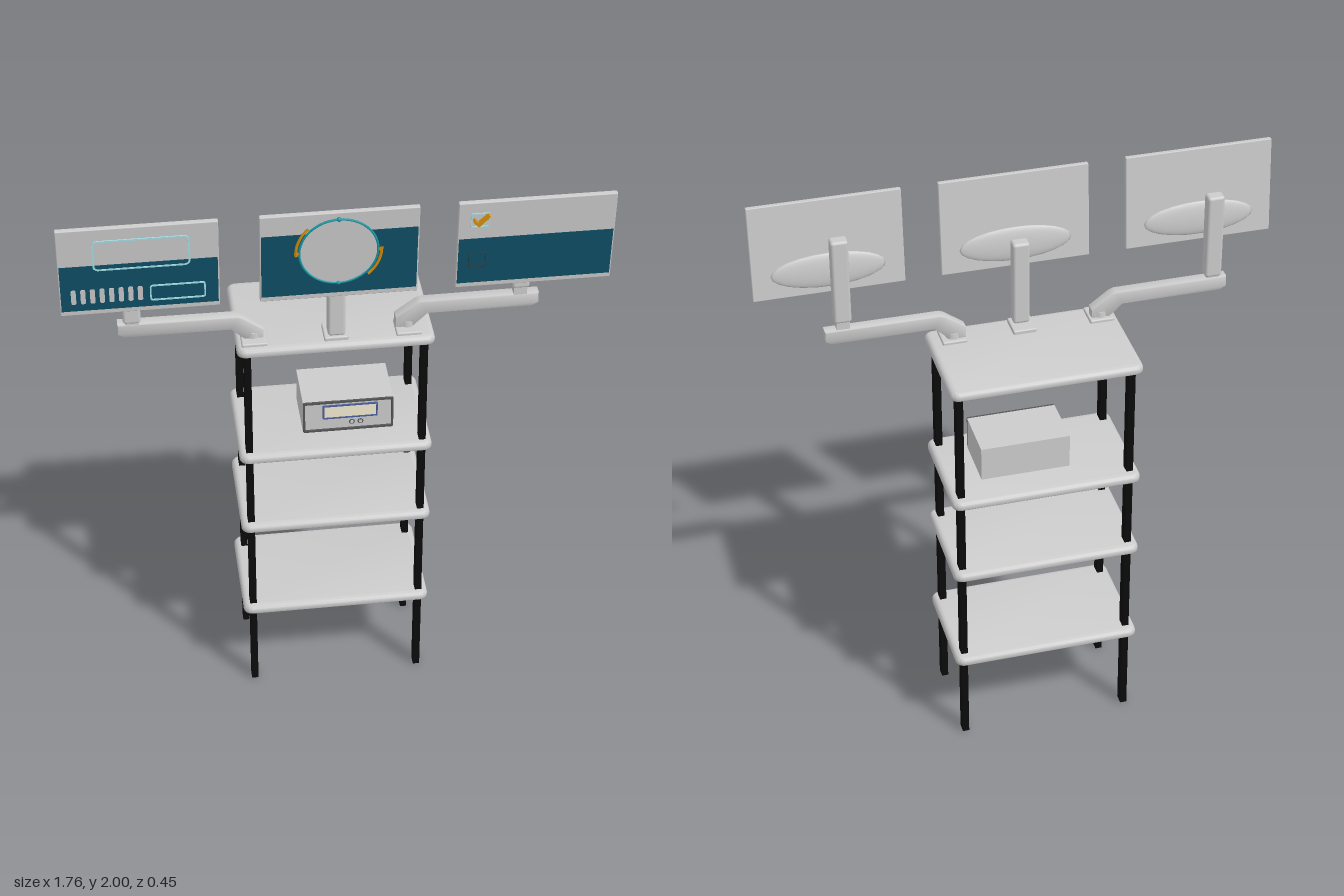
import * as THREE from 'three';
import { RoundedBoxGeometry } from 'three/addons/geometries/RoundedBoxGeometry.js';
import { toCreasedNormals } from 'three/addons/utils/BufferGeometryUtils.js';

const mat = (color) => new THREE.MeshStandardMaterial({ color });
const grey = mat(0xcccccc), black = mat(0x0b0b0b), blue = mat(0x0f4f66), pale = mat(0xa5e3ea);
const teal = mat(0x1a9ba8), orange = mat(0xd9900f), cream = mat(0xf3ead0), indigo = mat(0x4a5fa0), dark = mat(0x555555);

function add(parent, name, geometry, material, x = 0, y = 0, z = 0) {
  const mesh = new THREE.Mesh(geometry, material);
  mesh.name = name;
  mesh.position.set(x, y, z);
  parent.add(mesh);
  return mesh;
}

const box = (w, h, d) => new THREE.BoxGeometry(w, h, d);
const plate = (shape, depth) => new THREE.ExtrudeGeometry(shape, { depth, bevelEnabled: false, curveSegments: 6 });

// Rounded rectangle centred on the origin
function roundRect(w, h, r, Type = THREE.Shape) {
  const s = new Type(), x = w / 2 - r, y = h / 2 - r;
  s.absarc(x, y, r, 0, Math.PI / 2);
  s.absarc(-x, y, r, Math.PI / 2, Math.PI);
  s.absarc(-x, -y, r, Math.PI, Math.PI * 1.5);
  s.absarc(x, -y, r, Math.PI * 1.5, Math.PI * 2);
  s.closePath();
  return s;
}

// Thin rectangular frame
function frame(w, h, r, t, depth = 0.003) {
  const s = roundRect(w, h, r);
  s.holes.push(roundRect(w - 2 * t, h - 2 * t, Math.max(r - t, 0.001), THREE.Path));
  return plate(s, depth);
}

// Shelf: rounded slab, full curve on the top edge and a small one underneath
function shelfGeometry() {
  const b = 0.018;
  const g = new THREE.ExtrudeGeometry(roundRect(0.65 - 2 * b, 0.4 - 2 * b, 0.012), {
    depth: 0.01, bevelThickness: b, bevelSize: b, bevelSegments: 4, curveSegments: 4,
  });
  g.rotateX(-Math.PI / 2);
  const p = g.attributes.position;
  for (let i = 0; i < p.count; i++) if (p.getY(i) < 0) p.setY(i, p.getY(i) * 0.35);
  g.translate(0, 0.0063, 0);
  return toCreasedNormals(g, 0.7);
}

// Low swelling on the back of a display, deepest near its lower edge
function backSwell() {
  const g = new THREE.SphereGeometry(1, 24, 12);
  g.scale(0.19, 0.06, 0.014);
  return g;
}

// Tilted display; local z = 0.009 is the front of the panel
function display(name, x, blueTop) {
  const g = new THREE.Group();
  g.name = name;
  g.position.set(x, 1.832, 0.19);
  g.rotation.x = 0.075;
  add(g, 'panel', new RoundedBoxGeometry(0.505, 0.333, 0.018, 1, 0.003), grey);
  add(g, 'backSwell', backSwell(), grey, 0, -0.085, -0.009);
  const bottom = -0.148;
  add(g, 'blueField', box(0.496, blueTop - bottom, 0.002), blue, 0, (blueTop + bottom) / 2, 0.0095);
  return g;
}

// Upright carrying a display, with a small foot neck
function upright(parent, x, bottom, z, neck) {
  add(parent, 'upright', new RoundedBoxGeometry(0.058, 0.305, 0.046, 2, 0.01), grey, x, bottom + 0.1525, z);
  add(parent, 'uprightNeck', box(0.044, neck, 0.034), grey, x, bottom - neck / 2 + 0.01, z);
}

// Swing arm profile, drawn for the +x side
function armGeometry() {
  const pts = [[0.2, 1.478], [0.25, 1.478], [0.3, 1.526], [0.645, 1.526], [0.663, 1.536],
    [0.663, 1.568], [0.28, 1.566], [0.265, 1.56], [0.2, 1.512]];
  const s = new THREE.Shape(pts.map(([x, y]) => new THREE.Vector2(x, y)));
  const g = new THREE.ExtrudeGeometry(s, { depth: 0.03, bevelThickness: 0.005, bevelSize: 0.004, bevelSegments: 2 });
  return toCreasedNormals(g.translate(0, 0, -0.015), 0.5);
}

export function createModel() {
  const model = new THREE.Group();
  model.name = 'equipmentRack';

  // Shelves and posts
  const shelf = shelfGeometry();
  for (const y of [0.322, 0.692, 0.993, 1.431]) add(model, 'shelf', shelf, grey, -0.003, y, -0.03);
  for (const x of [-0.294, 0.289])
    for (const z of [0.13, -0.182]) add(model, 'post', box(0.023, 1.44, 0.036), black, x, 0.72, z);

  // Instrument on the second shelf
  const unit = new THREE.Group();
  unit.name = 'instrument';
  unit.position.set(0.048, 1.095, -0.03);
  add(unit, 'case', box(0.306, 0.122, 0.19), grey);
  for (const x of [-0.12, 0.12])
    for (const z of [-0.07, 0.07]) add(unit, 'foot', box(0.025, 0.014, 0.025), dark, x, -0.066, z);
  add(unit, 'frontRim', frame(0.306, 0.122, 0.006, 0.007, 0.008), dark, 0, 0, 0.094);
  add(unit, 'window', box(0.176, 0.045, 0.003), cream, 0.007, 0.016, 0.096);
  add(unit, 'windowFrame', frame(0.186, 0.055, 0.003, 0.005, 0.005), indigo, 0.007, 0.016, 0.095);
  for (const x of [0.013, 0.042]) {
    add(unit, 'knobRing', new THREE.TorusGeometry(0.008, 0.002, 6, 20), dark, x, -0.031, 0.096);
    add(unit, 'knob', new THREE.CylinderGeometry(0.006, 0.006, 0.006, 16).rotateX(Math.PI / 2), grey, x, -0.031, 0.096);
  }
  model.add(unit);

  // Centre stand
  add(model, 'standBase', new RoundedBoxGeometry(0.08, 0.018, 0.09, 2, 0.005), grey, -0.002, 1.47, 0.105);
  upright(model, -0.001, 1.48, 0.123, 0.02);

  // Swing arms with their uprights
  const arm = armGeometry();
  for (const side of [1, -1]) {
    const shift = side > 0 ? 0 : 0.04, drop = side > 0 ? 0 : -0.008;
    const a = add(model, 'swingArm', arm, grey, side * shift, drop, 0.096);
    if (side < 0) {
      a.rotation.y = Math.PI;
    }
    const bx = side * (0.237 + shift * 0.8);
    add(model, 'armBase', new RoundedBoxGeometry(0.084, 0.016, 0.092, 2, 0.005), grey, bx, 1.468, 0.105);
    add(model, 'armPivot', new THREE.CylinderGeometry(0.024, 0.026, 0.025, 20), grey, bx, 1.483, 0.096);
    upright(model, side > 0 ? 0.605 : -0.66, side > 0 ? 1.597 : 1.568, 0.098, side > 0 ? 0.045 : 0.025);
  }

  // Right display: boxes and a row of bars
  const right = display('rightDisplay', -0.632, 0.028);
  add(right, 'largeFrame', frame(0.305, 0.116, 0.018, 0.006), pale, 0.01, 0.065, 0.009);
  add(right, 'smallFrame', frame(0.176, 0.062, 0.01, 0.005), pale, 0.12, -0.094, 0.0105);
  const bar = plate(roundRect(0.016, 0.056, 0.006), 0.003);
  for (let i = 0; i < 8; i++) add(right, 'bar', bar, grey, -0.208 + i * 0.03, -0.092, 0.0095);
  model.add(right);

  // Centre display: dial with ring and two coloured arcs
  const centre = display('centreDisplay', 0, 0.092);
  const dialY = 0.018;
  add(centre, 'dial', new THREE.CylinderGeometry(0.124, 0.124, 0.004, 48).rotateX(Math.PI / 2), grey, -0.003, dialY, 0.011);
  add(centre, 'dialRing', new THREE.TorusGeometry(0.125, 0.004, 6, 64), teal, -0.003, dialY, 0.012);
  for (const start of [2.35, 5.49]) {
    const arc = add(centre, 'dialArc', new THREE.TorusGeometry(0.136, 0.005, 6, 24, 0.85), orange, -0.003, dialY, 0.012);
    arc.rotation.z = start;
  }
  for (const [x, y] of [[-0.136, 0], [0.13, 0]])
    add(centre, 'arcEnd', new THREE.CylinderGeometry(0.01, 0.01, 0.006, 3).rotateX(Math.PI / 2), orange, x, dialY + y, 0.013);
  for (const y of [-0.125, 0.125])
    add(centre, 'ringMark', new THREE.SphereGeometry(0.008, 10, 8), teal, -0.003, dialY + y, 0.011);
  model.add(centre);

  // Left display: two check boxes, the upper one ticked
  const left = display('leftDisplay', 0.627, 0.028);
  add(left, 'tickedBox', frame(0.06, 0.055, 0.003, 0.004), pale, -0.183, 0.1, 0.009);
  add(left, 'emptyBox', frame(0.056, 0.056, 0.003, 0.003), mat(0x2b3c44), -0.187, -0.057, 0.0105);
  const tick = new THREE.Shape([[-0.024, 0.002], [-0.006, -0.018], [0.03, 0.022], [0.024, 0.026], [-0.006, -0.004], [-0.018, 0.009]]
    .map(([x, y]) => new THREE.Vector2(x, y)));
  add(left, 'tick', plate(tick, 0.016), orange, -0.183, 0.1, 0.009);
  model.add(left);

  return model;
}
